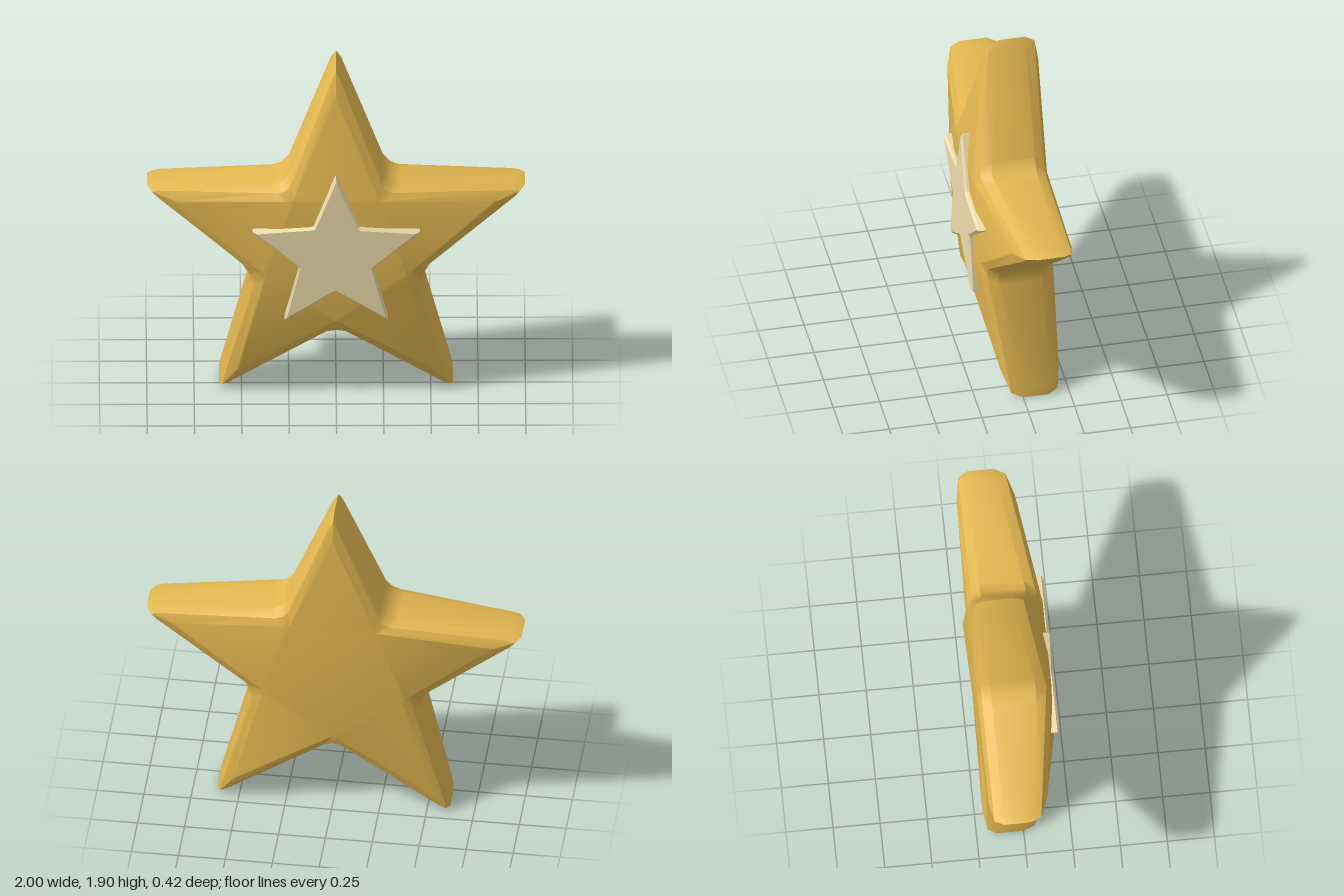
import * as THREE from 'three';
import { toCreasedNormals } from 'three/addons/utils/BufferGeometryUtils.js';

const ARMS = 5, PER_ARM = 6, CENTRE_Y = 0.85;
const HALF = Math.PI / ARMS;

// One star outline, counter-clockwise. tip and side are [x, y] points on the
// right half of the upright arm; z blends from the notch to the tip.
function starRing({ tip, cut, side, notch, zTip, zNotch = zTip }) {
  const mid = [-notch * Math.sin(HALF), notch * Math.cos(HALF)];
  const arm = [side, cut, [0, tip], [-cut[0], cut[1]], [-side[0], side[1]], mid];
  const ring = [];
  for (let k = 0; k < ARMS; k++) {
    for (const [x, y] of arm) {
      const t = Math.max(0, (y - mid[1]) / (tip - mid[1]));
      const z = THREE.MathUtils.lerp(zNotch, zTip, t);
      ring.push(new THREE.Vector3(x, y, z).applyAxisAngle(new THREE.Vector3(0, 0, 1), k * 2 * HALF));
    }
  }
  return ring;
}

// Skin the rings from back to front and close both ends.
function starSolid(specs, crease) {
  const rings = specs.map(starRing);
  const n = ARMS * PER_ARM;
  const out = [];
  const tri = (...corners) => corners.forEach((v) => out.push(v.x, v.y, v.z));

  for (let r = 0; r + 1 < rings.length; r++) {
    for (let i = 0; i < n; i++) {
      const j = (i + 1) % n, a = rings[r], b = rings[r + 1];
      tri(a[i], a[j], b[j]);
      tri(a[i], b[j], b[i]);
    }
  }

  // Cap: a flat pentagon between the notches plus one flat panel per arm
  const cap = (ring, flip) => {
    const face = (a, b, c) => (flip ? tri(a, c, b) : tri(a, b, c));
    const notches = ring.filter((_, i) => i % PER_ARM === PER_ARM - 1);
    const centre = new THREE.Vector3(0, 0, notches[0].z);
    for (let k = 0; k < ARMS; k++) {
      const from = notches[(k + ARMS - 1) % ARMS];
      face(centre, from, notches[k]);
      for (let i = 0; i < PER_ARM - 1; i++) {
        face(from, ring[k * PER_ARM + i], ring[k * PER_ARM + i + 1]);
      }
    }
  };
  cap(rings[0], true);
  cap(rings[rings.length - 1], false);

  const geometry = new THREE.BufferGeometry();
  geometry.setAttribute('position', new THREE.Float32BufferAttribute(out, 3));
  return toCreasedNormals(geometry, crease);
}

export function createModel() {
  const group = new THREE.Group();
  group.name = 'star';

  const add = (name, color, specs, crease) => {
    const mesh = new THREE.Mesh(starSolid(specs, crease), new THREE.MeshStandardMaterial({ color }));
    mesh.name = name;
    mesh.position.y = CENTRE_Y;
    group.add(mesh);
  };

  // Large star: flat bevelled back, arms sloping down to the tips in front
  const outer = { tip: 1.05, cut: [0.028, 1.01], side: [0.247, 0.437], notch: 0.487 };
  const bevel = { tip: 1.02, cut: [0.02, 0.985], side: [0.238, 0.4], notch: 0.452 };
  const face = { tip: 0.9, cut: [0.008, 0.88], side: [0.218, 0.345], notch: 0.39 };
  add('starBody', 0xe3b750, [
    { ...face, zTip: -0.21 },
    { ...bevel, zTip: -0.19 },
    { ...outer, zTip: -0.14 },
    { ...outer, zTip: 0, zNotch: 0.1 },
    { ...bevel, zTip: 0.06, zNotch: 0.155 },
    { ...face, zTip: 0.1, zNotch: 0.185 },
  ], 0.45);

  // Small raised star on the front
  const rim = { tip: 0.466, cut: [0.008, 0.455], side: [0.117, 0.18], notch: 0.212 };
  const top = { tip: 0.44, cut: [0.005, 0.43], side: [0.109, 0.167], notch: 0.198 };
  add('raisedStar', 0xeedcab, [
    { ...rim, zTip: 0.15 },
    { ...rim, zTip: 0.197 },
    { ...top, zTip: 0.21 },
  ], 0.4);

  return group;
}
